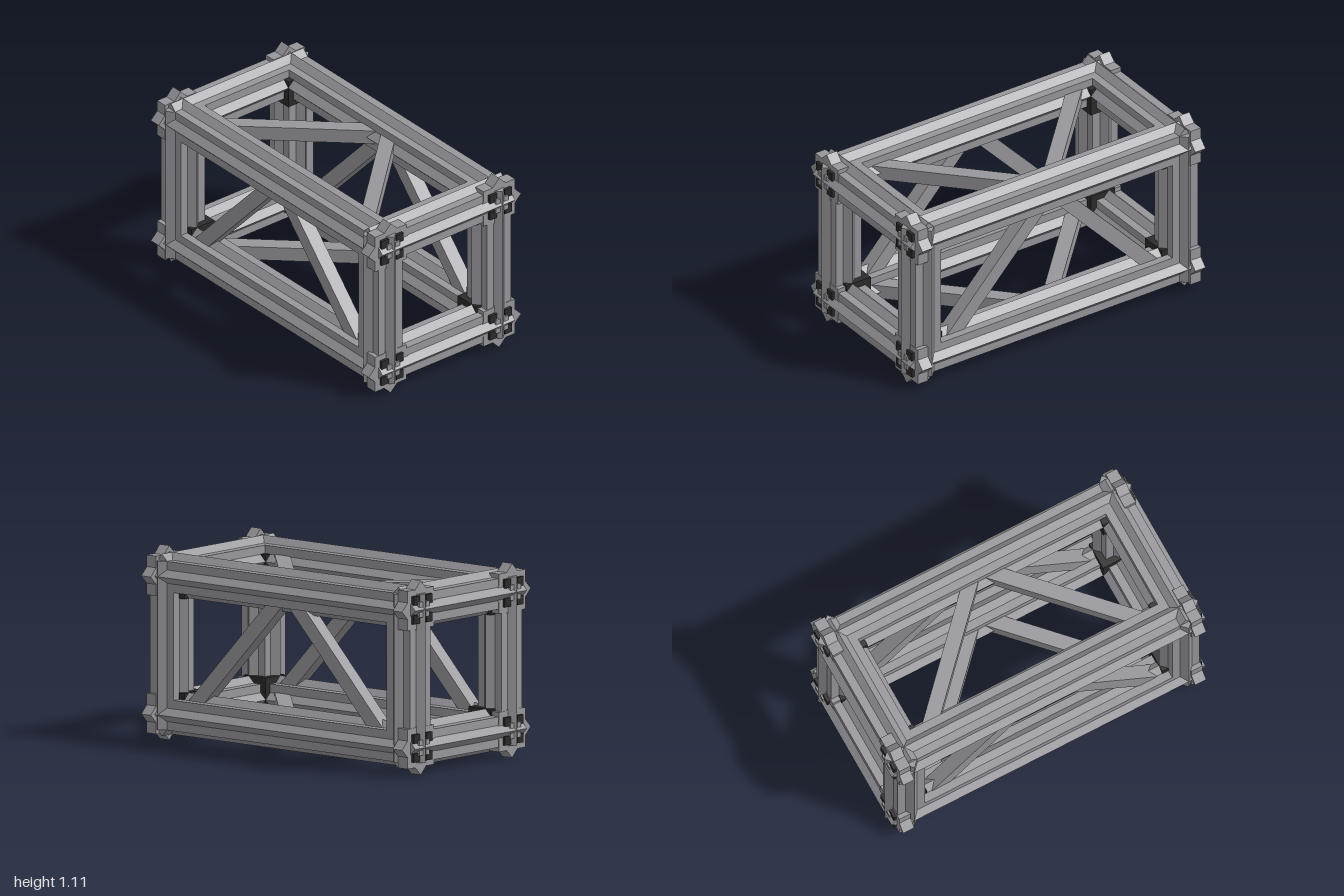
import * as THREE from 'three';

const steel = new THREE.MeshStandardMaterial({ color: 0x98979c });
steel.name = 'steel grey';
const dark = new THREE.MeshStandardMaterial({ color: 0x2b2b2b });
dark.name = 'dark grey';

const HX = 0.875;   // frame half length, to beam axes
const HS = 0.3925;  // frame half height and half depth
const FLAT = 0.087, PEAK = 0.125, RIDGE = 0.038;
const SIGNS = [-1, 1];

// Square section with a triangular ridge in the middle of each side
function ridgedSection(flat, ridge, peak) {
  const pts = [];
  for (let i = 0; i < 4; i++) {
    const a = i * Math.PI / 2;
    for (const [x, y] of [[flat, -flat], [flat, -ridge], [peak, 0], [flat, ridge]]) {
      pts.push(new THREE.Vector2(x * Math.cos(a) - y * Math.sin(a), x * Math.sin(a) + y * Math.cos(a)));
    }
  }
  return new THREE.Shape(pts);
}

// Ridged bar along the given axis, centred on the origin
function ridgedBar(section, length, axis) {
  const g = new THREE.ExtrudeGeometry(section, { depth: length, bevelEnabled: false });
  g.translate(0, 0, -length / 2);
  if (axis === 'x') g.rotateY(Math.PI / 2);
  if (axis === 'y') g.rotateX(Math.PI / 2);
  return g;
}

export function createModel() {
  const model = new THREE.Group();
  model.name = 'trussFrame';
  const frame = new THREE.Group();
  frame.name = 'frame';
  frame.position.y = 0.5525;
  model.add(frame);

  const add = (name, geometry, material, x, y, z) => {
    const mesh = new THREE.Mesh(geometry, material);
    mesh.name = name;
    mesh.position.set(x, y, z);
    frame.add(mesh);
    return mesh;
  };

  // Twelve ridged beams and the collars round the long ones
  const section = ridgedSection(FLAT, RIDGE, PEAK);
  const longBeam = ridgedBar(section, 2 * (HX + FLAT), 'x');
  const postGeo = ridgedBar(section, 2 * (HS + FLAT), 'y');
  const crossGeo = ridgedBar(section, 2 * (HS + FLAT), 'z');
  const collarGeo = ridgedBar(ridgedSection(0.113, 0.047, 0.16), 0.07, 'x');
  for (const a of SIGNS) for (const b of SIGNS) {
    add('longBeam', longBeam, steel, 0, a * HS, b * HS);
    add('post', postGeo, steel, a * HX, 0, b * HS);
    add('crossBeam', crossGeo, steel, a * HX, b * HS, 0);
    for (const s of SIGNS) add('collar', collarGeo, steel, s * 0.93, a * HS, b * HS);
  }

  // Inner corner brackets (three dark arms) and end bolts
  const t = 0.038, arm = 0.165;
  const armX = new THREE.BoxGeometry(arm, t, t);
  const armY = new THREE.BoxGeometry(t, arm, t);
  const armZ = new THREE.BoxGeometry(t, t, arm);
  const boltGeo = new THREE.BoxGeometry(0.05, 0.051, 0.051);
  const tabGeo = new THREE.BoxGeometry(0.04, 0.03, 0.03);
  const inX = HX - PEAK, inS = HS - PEAK;
  for (const sx of SIGNS) for (const sy of SIGNS) for (const sz of SIGNS) {
    const cx = sx * (inX + t / 2), cy = sy * (inS + t / 2), cz = sz * (inS + t / 2);
    add('cornerBracket', armX, dark, sx * (inX + arm / 2), cy, cz);
    add('cornerBracket', armY, dark, cx, sy * (inS + arm / 2), cz);
    add('cornerBracket', armZ, dark, cx, cy, sz * (inS + arm / 2));
    for (const a of SIGNS) for (const b of SIGNS) {
      add('endBolt', boltGeo, dark, sx * 0.957, sy * HS + a * 0.0535, sz * HS + b * 0.0535);
      add('boltTab', tabGeo, steel, sx * 0.972, sy * HS + a * 0.029, sz * HS + b * 0.029);
    }
  }

  // Diagonal braces: apex at the top on front and back, at the rear on top and bottom
  const run = 0.74, rise = 2 * HS;
  const braceGeo = new THREE.BoxGeometry(Math.hypot(run, rise), 0.086, 0.084);
  const angle = Math.atan2(rise, run);
  for (const side of SIGNS) for (const s of SIGNS) {
    const upright = add('sideBrace', braceGeo, steel, s * run / 2, 0, side * HS);
    upright.rotation.z = -s * angle;
    const level = add('levelBrace', braceGeo, steel, s * run / 2, side * HS, 0);
    level.rotation.set(-Math.PI / 2, 0, -s * angle);
  }
  return model;
}
